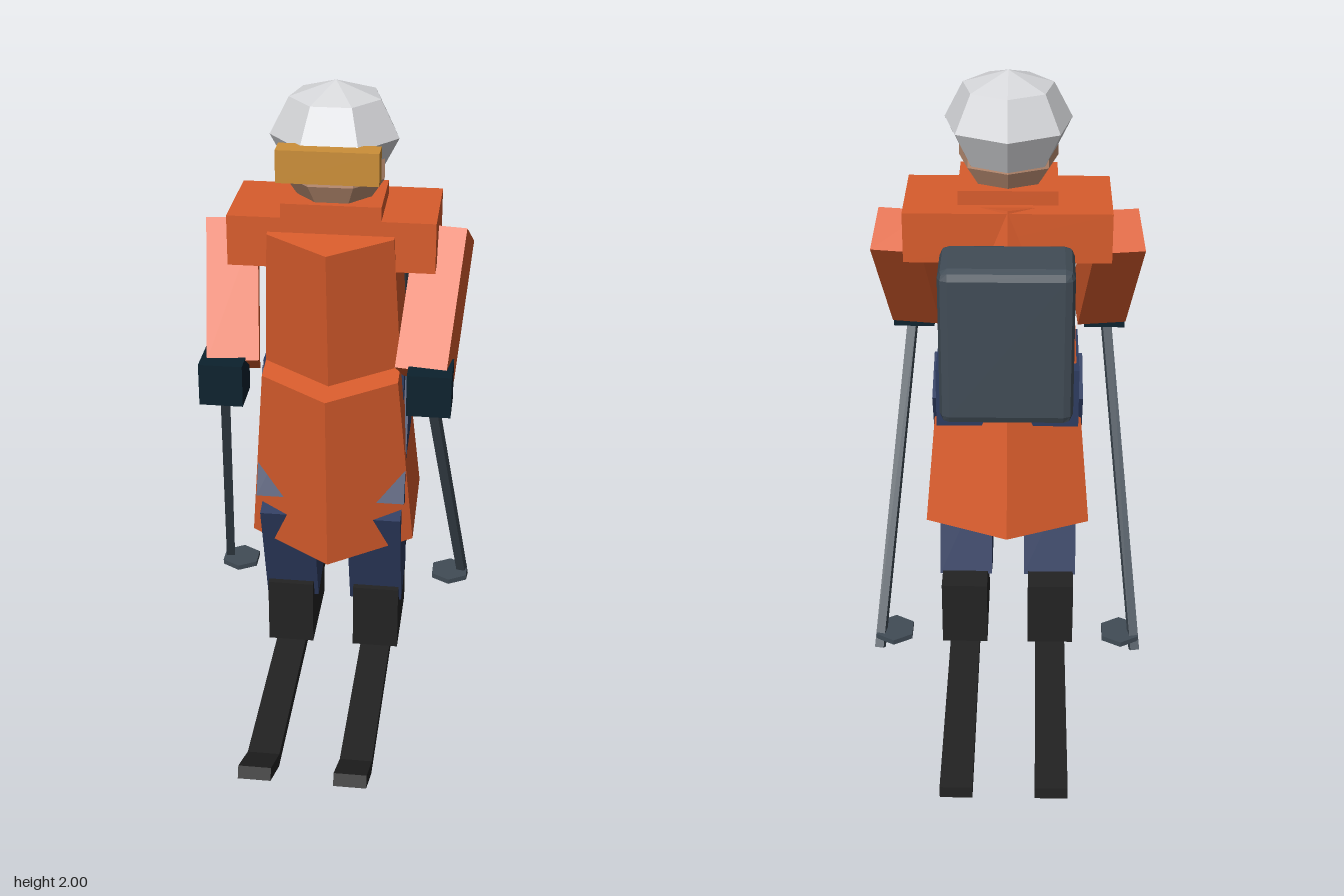
import * as THREE from 'three';
import { RoundedBoxGeometry } from 'three/addons/geometries/RoundedBoxGeometry.js';

export function createModel() {
  const model = new THREE.Group();
  model.name = 'skier';

  const mat = (name, color) => {
    const m = new THREE.MeshStandardMaterial({ color });
    m.name = name;
    return m;
  };
  const orange = mat('coatOrange', 0xd85c2c);
  const blue = mat('trouserBlue', 0x2e3c60);
  const black = mat('bootBlack', 0x232323);
  const glove = mat('gloveNavy', 0x0c222e);
  const slate = mat('slateGrey', 0x414c56);
  const white = mat('helmetWhite', 0xd6d7da);
  const amber = mat('goggleAmber', 0xcc8f38);
  const skin = mat('skin', 0xc7977a);

  // Faceted mesh: every face gets its own flat normals
  const add = (name, geometry, material, x = 0, y = 0, z = 0) => {
    const g = geometry.index ? geometry.toNonIndexed() : geometry;
    g.computeVertexNormals();
    const mesh = new THREE.Mesh(g, material);
    mesh.name = name;
    mesh.position.set(x, y, z);
    model.add(mesh);
    return mesh;
  };
  const box = (name, material, w, h, d, x, y, z) =>
    add(name, new THREE.BoxGeometry(w, h, d), material, x, y, z);

  // Box limb running from point a to point b
  const limb = (name, material, a, b, w, t) => {
    const p = new THREE.Vector3(...a), q = new THREE.Vector3(...b);
    const mid = p.clone().add(q).multiplyScalar(0.5);
    const mesh = box(name, material, w, t, p.distanceTo(q), mid.x, mid.y, mid.z);
    mesh.lookAt(q);
    return mesh;
  };

  // Coat: two hexagonal sections leaning forward, with shoulders and collar
  const coat = (name, rTop, rBottom, top, bottom) => {
    const h = Math.hypot(top[0] - bottom[0], top[1] - bottom[1]);
    const mesh = add(name, new THREE.CylinderGeometry(rTop, rBottom, h, 6), orange,
      0, (top[0] + bottom[0]) / 2, (top[1] + bottom[1]) / 2);
    mesh.rotation.x = Math.PI * 10 / 180;
  };
  coat('coatUpper', 0.223, 0.25, [1.58, 0.07], [1.08, -0.018]);
  coat('coatSkirt', 0.247, 0.307, [1.115, 0.073], [0.508, -0.0275]);
  box('shoulders', orange, 0.635, 0.16, 0.315, 0, 1.53, 0.007);
  box('collar', orange, 0.305, 0.06, 0.245, 0, 1.625, 0.042);
  box('hips', blue, 0.45, 0.2, 0.29, 0, 1.0, -0.045);

  // Head, helmet and goggles
  const head = add('head', new THREE.SphereGeometry(1, 7, 5), skin, 0, 1.77, 0.045);
  head.scale.set(0.15, 0.18, 0.165);
  head.rotation.y = -Math.PI / 2;
  const helmet = add('helmet', new THREE.SphereGeometry(1, 7, 4), white, 0, 1.84, 0.025);
  helmet.scale.set(0.2, 0.16, 0.2);
  helmet.rotation.y = -Math.PI / 2;
  box('goggles', amber, 0.305, 0.1, 0.07, 0, 1.8, 0.215);

  // Backpack with chamfered edges
  add('backpack', new RoundedBoxGeometry(0.405, 0.51, 0.22, 1, 0.03), slate, 0, 1.275, -0.288);

  // Ski side profile, drawn as (z, y)
  const skiShape = new THREE.Shape([
    [-0.9, 0], [0.735, 0], [0.9, 0.082], [0.884, 0.118], [0.725, 0.04], [-0.9, 0.04],
  ].map(([z, y]) => new THREE.Vector2(z, y)));

  for (const s of [1, -1]) {
    const side = s > 0 ? 'left' : 'right';

    // Legs, boots and skis
    limb(side + 'Thigh', blue, [s * 0.145, 1.01, -0.055], [s * 0.145, 0.62, 0.113], 0.19, 0.19);
    limb(side + 'Shin', blue, [s * 0.142, 0.62, 0.113], [s * 0.142, 0.233, -0.01], 0.175, 0.185);
    box(side + 'Boot', black, 0.153, 0.23, 0.305, s * 0.145, 0.155, -0.032);
    const ski = new THREE.ExtrudeGeometry(skiShape, { depth: 0.1, bevelEnabled: false });
    ski.rotateY(-Math.PI / 2).translate(0.05, 0, 0);
    add(side + 'Ski', ski, black, s * 0.145, 0, 0);

    // Arms and gloves
    limb(side + 'Arm', orange, [s * 0.335, 1.508, -0.037], [s * 0.297, 1.138, 0.22], 0.16, 0.155);
    box(side + 'Glove', glove, 0.135, 0.135, 0.135, s * 0.318, 1.122, 0.272);

    // Ski poles with baskets
    limb(side + 'Pole', slate, [s * 0.318, 1.12, 0.27], [s * 0.427, 0.085, -0.278], 0.03, 0.03);
    add(side + 'PoleBasket', new THREE.CylinderGeometry(0.07, 0.07, 0.018, 6), slate,
      s * 0.379, 0.126, -0.238);
  }
  return model;
}
